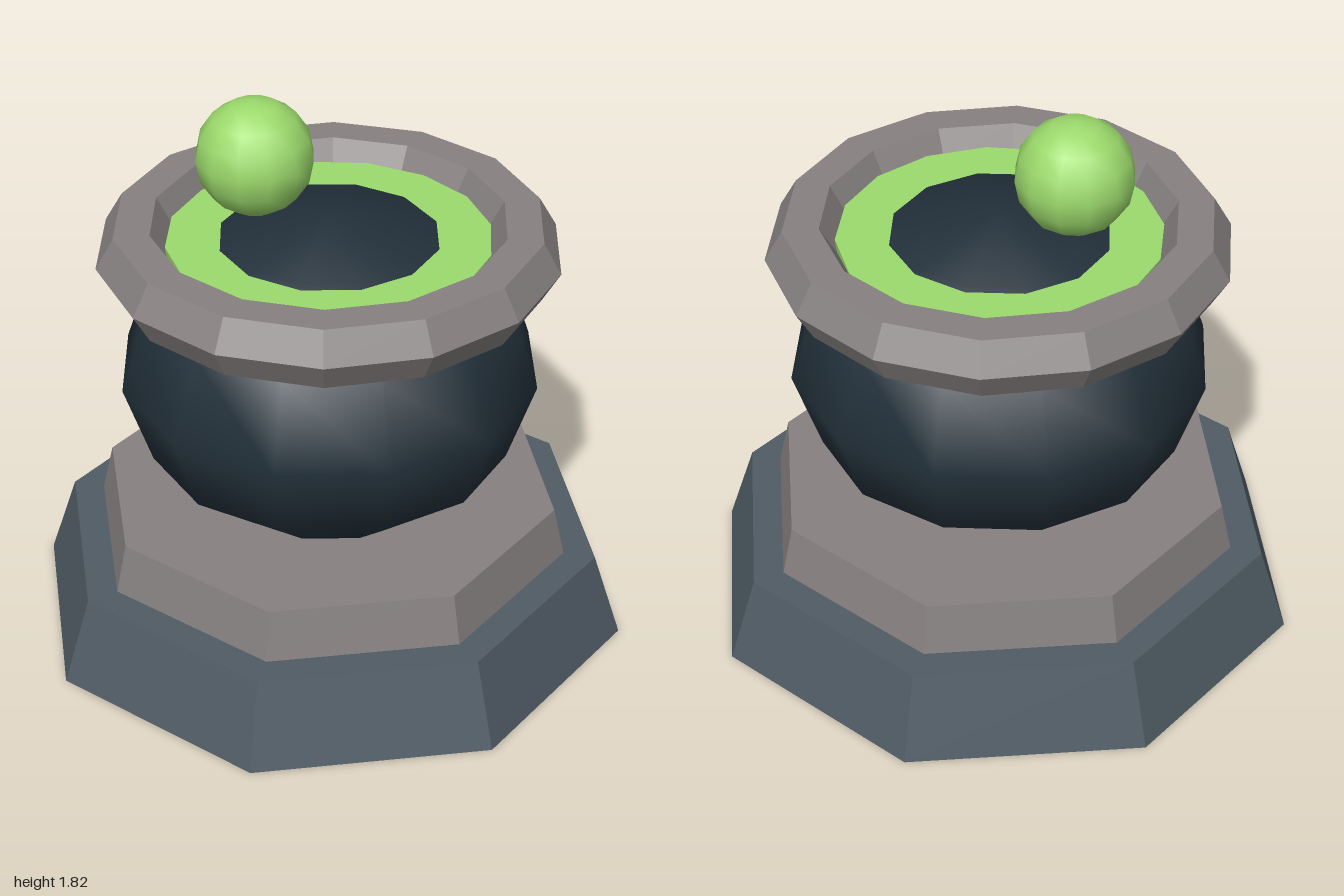
import * as THREE from 'three';

function mat(name, color, flatShading = false) {
  const m = new THREE.MeshStandardMaterial({ color, flatShading });
  m.name = name;
  return m;
}

export function createModel() {
  const group = new THREE.Group();
  group.name = 'cauldron';
  const slate = mat('slate', 0x4f5b64, true);
  const stone = mat('stone', 0x868080, true);
  const iron = mat('darkIron', 0x22303a);
  const brew = mat('greenBrew', 0x9cda6c);

  const add = (name, geometry, material, x, y) => {
    const mesh = new THREE.Mesh(geometry, material);
    mesh.name = name;
    mesh.position.set(x, y, 0);
    group.add(mesh);
    return mesh;
  };

  // Octagonal stepped plinth
  add('lowerBase', new THREE.CylinderGeometry(0.905, 1, 0.285, 8), slate, 0, 0.1425);
  add('upperBase', new THREE.CylinderGeometry(0.762, 0.8, 0.165, 8), stone, 0, 0.3675);

  // Squashed pot, its crown pokes through the liquid
  add('pot', new THREE.SphereGeometry(0.685, 12, 6), iron, 0, 0.91).scale.y = 0.796;

  // Chunky six-sided rim
  const rim = new THREE.TorusGeometry(0.627, 0.1155, 6, 14).rotateX(Math.PI / 2);
  add('rim', rim, stone, 0, 1.335);

  // Liquid surface and floating bubble
  add('liquid', new THREE.CylinderGeometry(0.52, 0.52, 0.04, 16), brew, 0, 1.352);
  add('bubble', new THREE.SphereGeometry(0.19, 12, 8), brew, -0.24, 1.625);

  return group;
}
